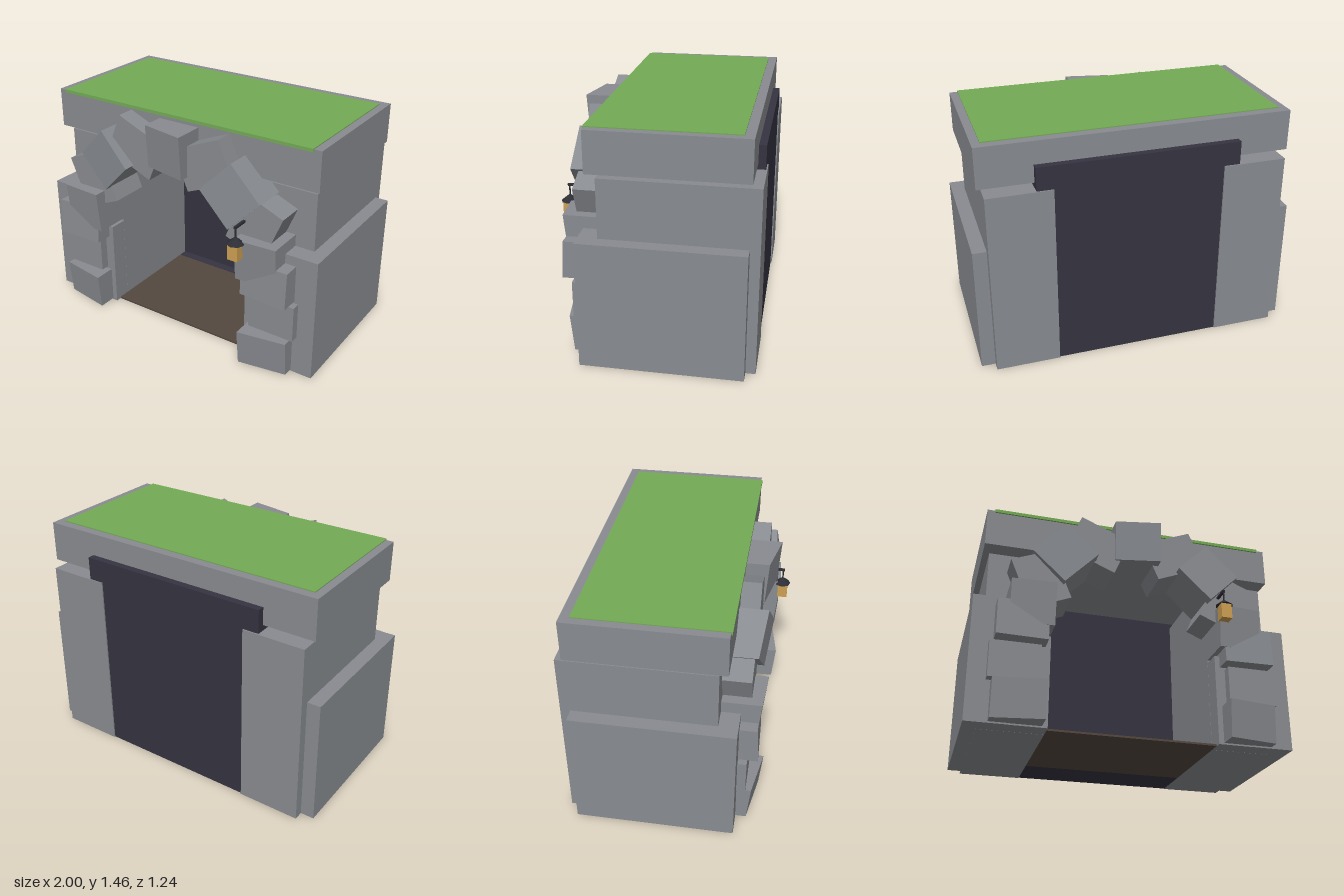
import * as THREE from 'three';

const paint = (name, color) => {
  const m = new THREE.MeshStandardMaterial({ color });
  m.name = name;
  return m;
};

export function createModel() {
  const root = new THREE.Group();
  root.name = 'stoneArchShelter';
  const stone = paint('stone', 0x888b90);
  const dark = paint('darkInterior', 0x353340);
  const grass = paint('grass', 0x73aa55);
  const earth = paint('earthFloor', 0x54483f);
  const metal = paint('lanternMetal', 0x2d2d36);
  const glow = paint('lanternGlow', 0xcc9f52);

  const add = (name, geo, mat, parent = root) => {
    const m = new THREE.Mesh(geo, mat);
    m.name = name;
    parent.add(m);
    return m;
  };
  // Box given by its limits on each axis
  const block = (name, mat, x0, x1, y0, y1, z0, z1, parent = root) => {
    const m = add(name, new THREE.BoxGeometry(x1 - x0, y1 - y0, z1 - z0), mat, parent);
    m.position.set((x0 + x1) / 2, (y0 + y1) / 2, (z0 + z1) / 2);
    return m;
  };
  // Rough stone: turned in the wall plane, front face sloped by sx and sy
  const roughStone = (name, x, y, w, h, angle, back, front, sx = 0, sy = 0) => {
    const g = new THREE.BoxGeometry(w, h, 1).toNonIndexed();
    g.rotateZ(angle);
    const p = g.attributes.position;
    for (let i = 0; i < p.count; i++) {
      const isFront = p.getZ(i) > 0;
      p.setZ(i, isFront ? front + sx * p.getX(i) + sy * p.getY(i) : back);
    }
    g.computeVertexNormals();
    add(name, g, stone).position.set(x, y, 0);
  };

  // Side walls, mirrored
  for (const s of [-1, 1]) {
    const side = (name, a, b, ...rest) =>
      block(name, stone, Math.min(s * a, s * b), Math.max(s * a, s * b), ...rest);
    side('innerWall', 0.52, 0.915, 0, 1.165, -0.62, 0.303);
    side('outerWall', 0.745, 1, 0.0005, 0.8, -0.56, 0.42);
    side('doorPost', 0.521, 0.745, 0.0005, 0.58, 0.2, 0.418);
  }

  // Roof slab, turf, back wall and floor
  block('roofSlab', stone, -0.95, 0.95, 1.2, 1.452, -0.567, 0.357);
  block('turf', grass, -0.9, 0.9, 1.437, 1.458, -0.51, 0.366);
  block('backWall', dark, -0.62, 0.62, 0.0005, 1.31, -0.612, -0.395);
  block('backSill', dark, -0.52, 0.52, 0, 0.012, -0.395, -0.33);
  block('floor', earth, -0.52, 0.52, 0, 0.012, -0.33, 0.38);

  // Arch stones and piers
  const deg = Math.PI / 180;
  roughStone('keystone', 0, 1.277, 0.285, 0.275, 0, 0.22, 0.52, 0.2, 0.07);
  for (const s of [-1, 1]) {
    roughStone('upperArchStone', s * 0.2525, 1.235, 0.344, 0.268, s * 22.5 * deg, 0.22, 0.475);
    roughStone('middleArchStone', s * 0.467, 1.115, 0.285, 0.285, 45 * deg, 0.22, 0.525,
      s < 0 ? 0.14 : -0.03, s < 0 ? 0.02 : -0.07);
    roughStone('lowerArchStone', s * 0.605, 0.935, 0.27, 0.34, -s * 22.5 * deg, 0.22, 0.475);
    roughStone('springStone', s * 0.655, 0.737, 0.27, 0.275, 0, 0.22, 0.535, -s * 0.06, 0.1);
    roughStone('upperPierStone', s * 0.708, 0.622, 0.31, 0.235, 0, 0.24, 0.528, s * 0.03, -0.05);
    roughStone('middlePierStone', s * 0.737, 0.375, 0.305, 0.232, 0, 0.24, 0.475);
    roughStone('lowerPierStone', s * 0.708, 0.128, 0.308, 0.235, 0, 0.24, 0.523, -s * 0.165, 0.1);
  }

  // Hanging lantern
  const lantern = new THREE.Group();
  lantern.name = 'lantern';
  lantern.position.set(0.543, 0, 0.568);
  root.add(lantern);
  block('lanternArm', metal, -0.008, 0.008, 0.958, 0.972, -0.1, 0.01, lantern);
  add('lanternRod', new THREE.CylinderGeometry(0.005, 0.005, 0.08, 6), metal, lantern)
    .position.y = 0.925;
  add('lanternCap', new THREE.ConeGeometry(0.055, 0.045, 8).toNonIndexed(), metal, lantern)
    .position.y = 0.884;
  lantern.getObjectByName('lanternCap').geometry.computeVertexNormals();
  block('lanternBody', glow, -0.034, 0.034, 0.763, 0.863, -0.03, 0.036, lantern);

  return root;
}
